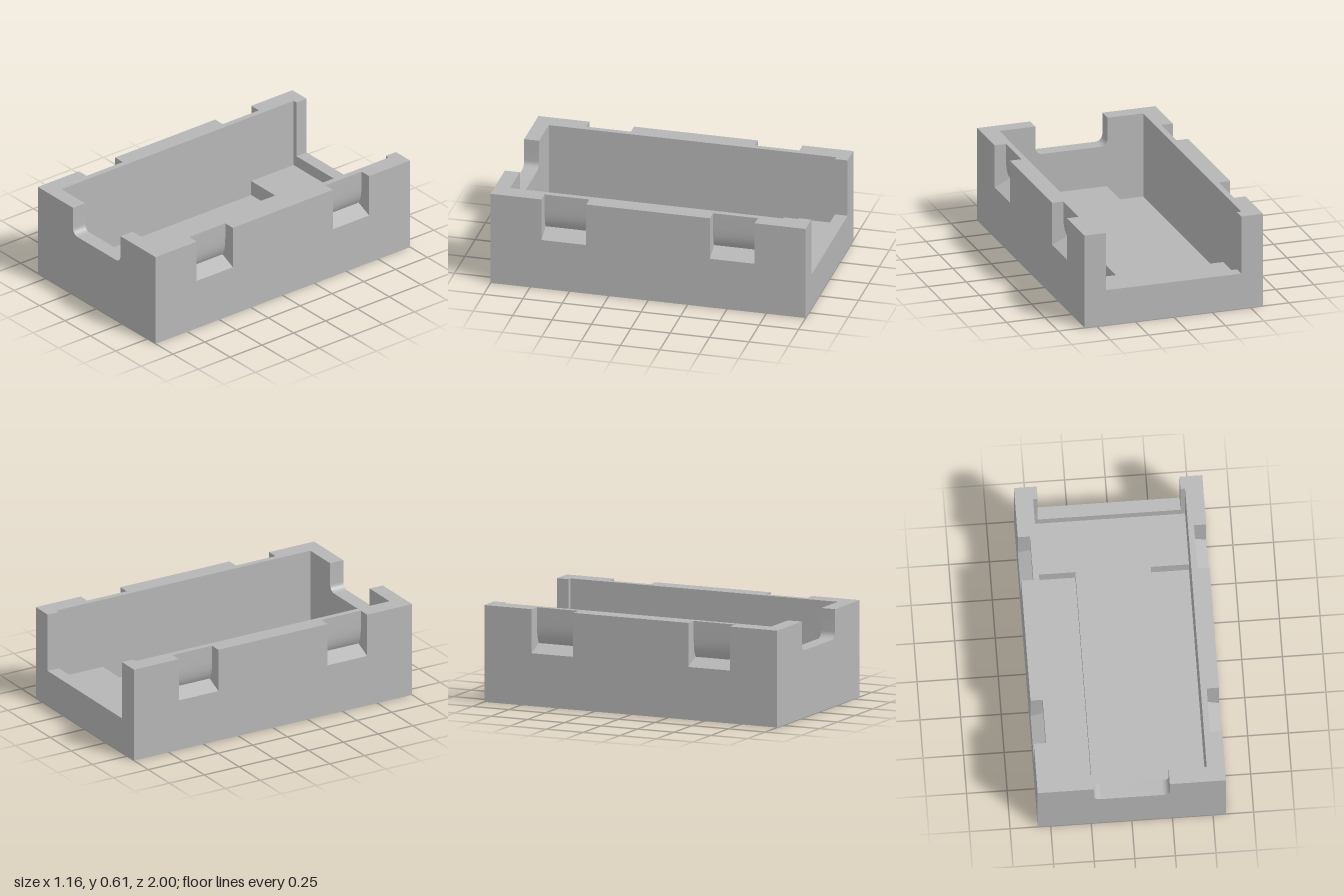
import * as THREE from 'three';
import { toCreasedNormals } from 'three/addons/utils/BufferGeometryUtils.js';

// Main dimensions
const W = 0.58, H = 0.605, IN = 0.468;          // half width, height, inner half width
const BACK = -0.92, FRONT = 0.905;              // inner faces of the end walls
const FLOOR = 0.06, DECK = 0.157;               // pocket floor and raised deck

const grey = new THREE.MeshStandardMaterial({ color: 0xb6b6b6 });
grey.name = 'grey';

function shapeOf(points) {
  return new THREE.Shape(points.map(([x, y]) => new THREE.Vector2(x, y)));
}

// Extrudes an x/y shape from z0 to z1
function slab(name, shape, z0, z1) {
  const raw = new THREE.ExtrudeGeometry(shape, { depth: z1 - z0, bevelEnabled: false, curveSegments: 10 });
  raw.translate(0, 0, z0);
  const mesh = new THREE.Mesh(toCreasedNormals(raw, 0.5), grey);
  mesh.name = name;
  return mesh;
}

function rect(x0, y0, x1, y1) {
  return shapeOf([[x0, y0], [x1, y0], [x1, y1], [x0, y1]]);
}

export function createModel() {
  const group = new THREE.Group();
  group.name = 'openTray';

  // Front wall with a round-cornered cut-out
  const a = 0.234, sill = 0.42, r = 0.045;
  const front = shapeOf([[-W, 0], [W, 0], [W, H], [a, H], [a, sill + r]]);
  front.absarc(a - r, sill + r, r, 0, -Math.PI / 2, true);
  front.lineTo(-a + r, sill);
  front.absarc(-a + r, sill + r, r, -Math.PI / 2, -Math.PI, true);
  front.lineTo(-a, H);
  front.lineTo(-W, H);
  group.add(slab('frontWall', front, FRONT, 1));

  // Back wall with a wide square opening
  const b = 0.44, low = 0.23;
  group.add(slab('backWall', shapeOf([
    [-W, 0], [W, 0], [W, H], [b, H], [b, low], [-b, low], [-b, H], [-W, H],
  ]), -1, BACK));

  // Side walls: plain stretches alternating with undercut finger notches
  const plain = [[IN, 0], [W, 0], [W, H], [IN, H]];
  const notched = [
    [IN, 0], [W, 0], [W, 0.33], [0.478, 0.377], [0.488, 0.395], [0.497, 0.42],
    [0.503, 0.455], [0.505, 0.5], [0.505, H], [IN, H],
  ];
  const cuts = [BACK, -0.677, -0.393, 0.393, 0.677, FRONT];
  for (const side of [1, -1]) {
    const wall = new THREE.Group();
    wall.name = side > 0 ? 'leftWall' : 'rightWall';
    for (let i = 0; i < cuts.length - 1; i++) {
      const isNotch = i % 2 === 1;
      const profile = (isNotch ? notched : plain).map(([x, y]) => [x * side, y]);
      wall.add(slab(isNotch ? 'notchedSection' : 'plainSection', shapeOf(profile), cuts[i], cuts[i + 1]));
    }
    group.add(wall);
  }

  // Floor: a raised T-shaped deck between two sunken pockets
  const step = -0.587, c = 0.232;
  group.add(slab('rearDeck', rect(-IN, 0, IN, DECK), BACK, step));
  group.add(slab('stepFloor', shapeOf([
    [-IN, 0], [IN, 0], [IN, FLOOR], [c, FLOOR], [c, DECK], [-c, DECK], [-c, FLOOR], [-IN, FLOOR],
  ]), step, FRONT));

  return group;
}
